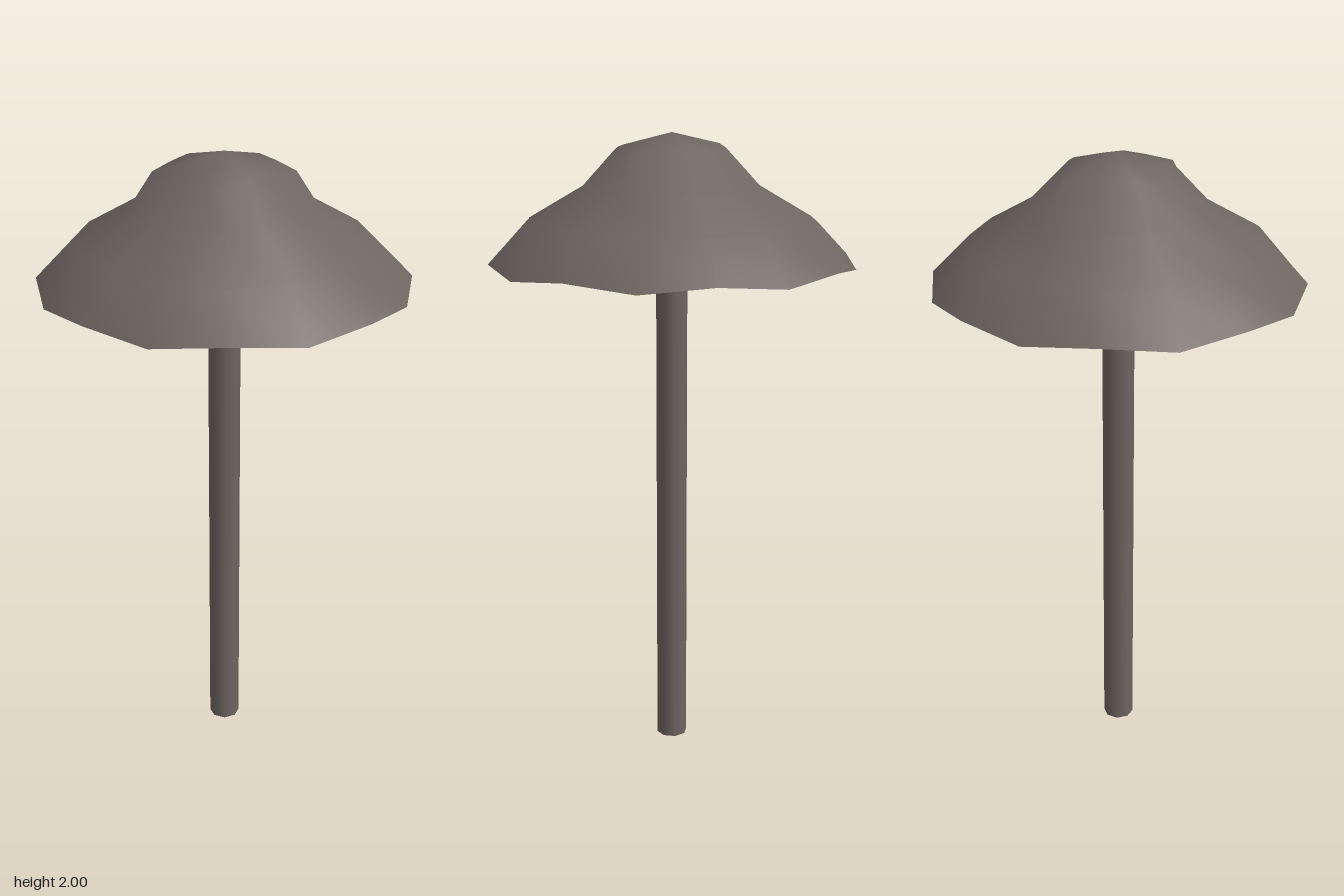
import * as THREE from 'three';

const SIDES = 16;

// Surface through rings of points, from the centre outwards; smooth normals
function ringSurface(centreY, rings, faceDown) {
  const pos = [0, centreY, 0];
  const index = [];
  const tri = (a, b, c) => (faceDown ? index.push(a, c, b) : index.push(a, b, c));
  rings.forEach((ring, r) => {
    for (let i = 0; i < SIDES; i++) {
      const [radius, y] = ring(i);
      const a = (i / SIDES) * Math.PI * 2;
      pos.push(radius * Math.sin(a), y, radius * Math.cos(a));
      const j = (i + 1) % SIDES;
      const o = 1 + r * SIDES;
      if (r === 0) {
        tri(0, o + i, o + j);
      } else {
        const p = o - SIDES;
        tri(p + i, o + i, o + j);
        tri(p + i, o + j, p + j);
      }
    }
  });
  const geo = new THREE.BufferGeometry();
  geo.setAttribute('position', new THREE.Float32BufferAttribute(pos, 3));
  geo.setIndex(index);
  geo.computeVertexNormals();
  return geo;
}

export function createModel() {
  const group = new THREE.Group();
  const greyBrown = new THREE.MeshStandardMaterial({ color: 0x6e6560 });
  greyBrown.name = 'greyBrown';

  const add = (name, geo) => {
    const mesh = new THREE.Mesh(geo, greyBrown);
    mesh.name = name;
    group.add(mesh);
    return mesh;
  };

  // Wavy rim, and a squarish crown whose corners sit lower than its sides
  const rim = (i) => [0.571, i % 2 ? 1.595 : 1.615];
  const crown = (i) => {
    const k = i % 4;
    if (k === 0) return [0.15, 1.965];
    if (k === 2) return [0.212, 1.94];
    return [0.167, 1.955];
  };

  // Cap: bell-shaped upper skin and plain conical underside
  add('capTop', ringSurface(2, [crown, () => [0.28, 1.835], () => [0.452, 1.735], rim], false));
  add('capUnderside', ringSurface(1.86, [rim], true));

  // Stem
  add('stem', new THREE.CylinderGeometry(0.05, 0.05, 1.86, 8)).position.y = 0.93;

  return group;
}
